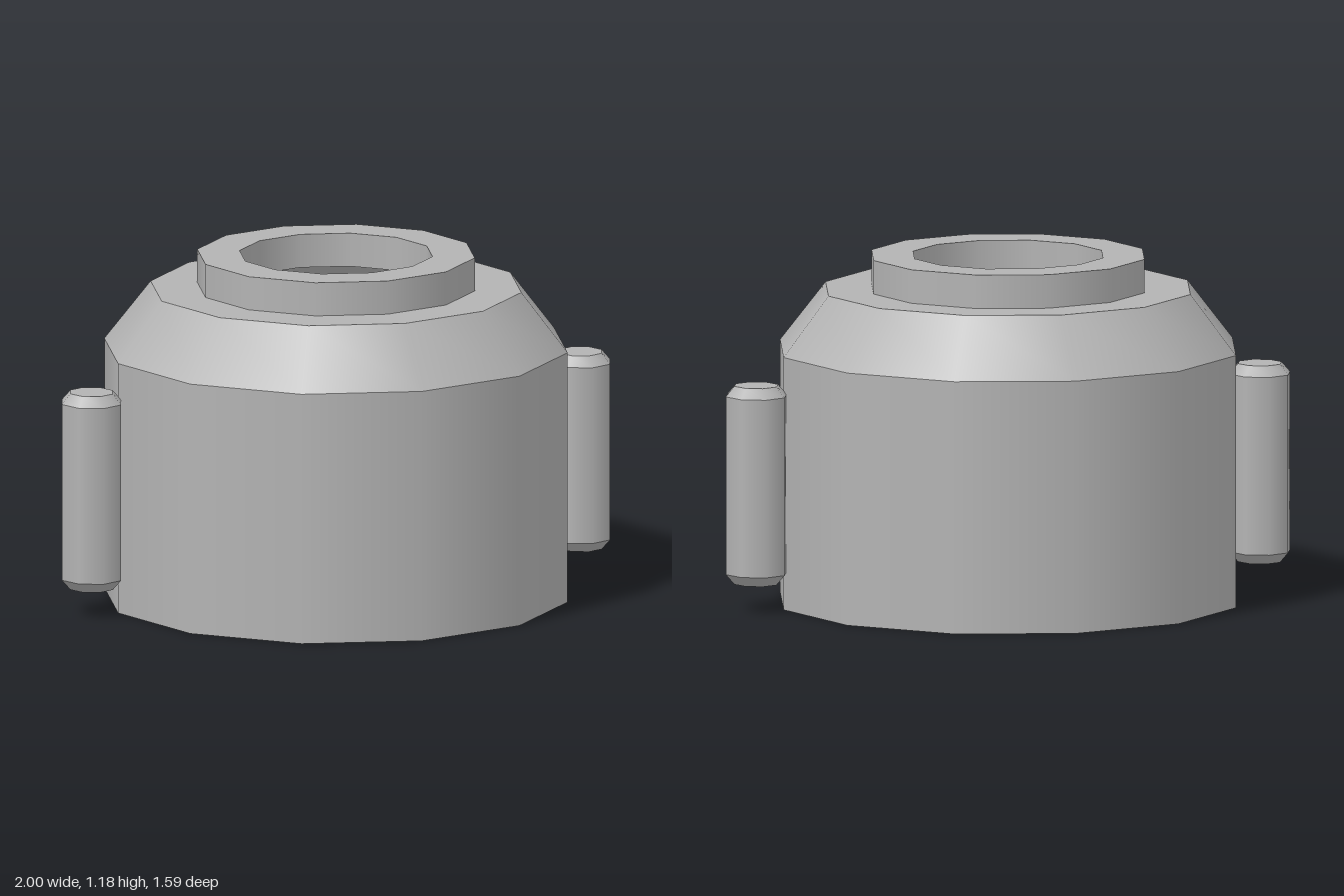
import * as THREE from 'three';

const grey = new THREE.MeshStandardMaterial({ color: 0xb3b3b3, side: THREE.DoubleSide });
grey.name = 'plain grey';

// Each profile section is its own lathe: smooth around, sharp between sections
function turned(name, profile, sides, sectionNames) {
  const group = new THREE.Group();
  group.name = name;
  for (let i = 0; i < profile.length - 1; i++) {
    const points = [profile[i], profile[i + 1]].map(([r, y]) => new THREE.Vector2(r, y));
    const mesh = new THREE.Mesh(new THREE.LatheGeometry(points, sides), grey);
    mesh.name = sectionNames[i];
    group.add(mesh);
  }
  return group;
}

export function createModel() {
  const model = new THREE.Group();
  model.name = 'collaredHousing';

  // Hollow shell, open at the bottom, with a sloped shoulder
  model.add(turned('shell',
    [[0.795, 0], [0.795, 0.866], [0.636, 1.07], [0.476, 1.07]], 12,
    ['outerWall', 'slopedShoulder', 'shoulderTop']));

  // Raised collar with a through bore
  model.add(turned('collar',
    [[0.476, 1.07], [0.476, 1.185], [0.331, 1.185], [0.331, 1.07], [0.476, 1.07]], 12,
    ['collarWall', 'collarTop', 'bore', 'collarUnderside']));

  // Chamfered pegs on both sides
  for (const side of [1, -1]) {
    const peg = turned(side > 0 ? 'leftPeg' : 'rightPeg',
      [[0, 0.095], [0.081, 0.095], [0.113, 0.13], [0.113, 0.74], [0.081, 0.775], [0, 0.775]], 8,
      ['bottomCap', 'bottomChamfer', 'shaft', 'topChamfer', 'topCap']);
    peg.scale.x = 0.955;
    peg.position.x = side * 0.892;
    model.add(peg);
  }
  return model;
}
